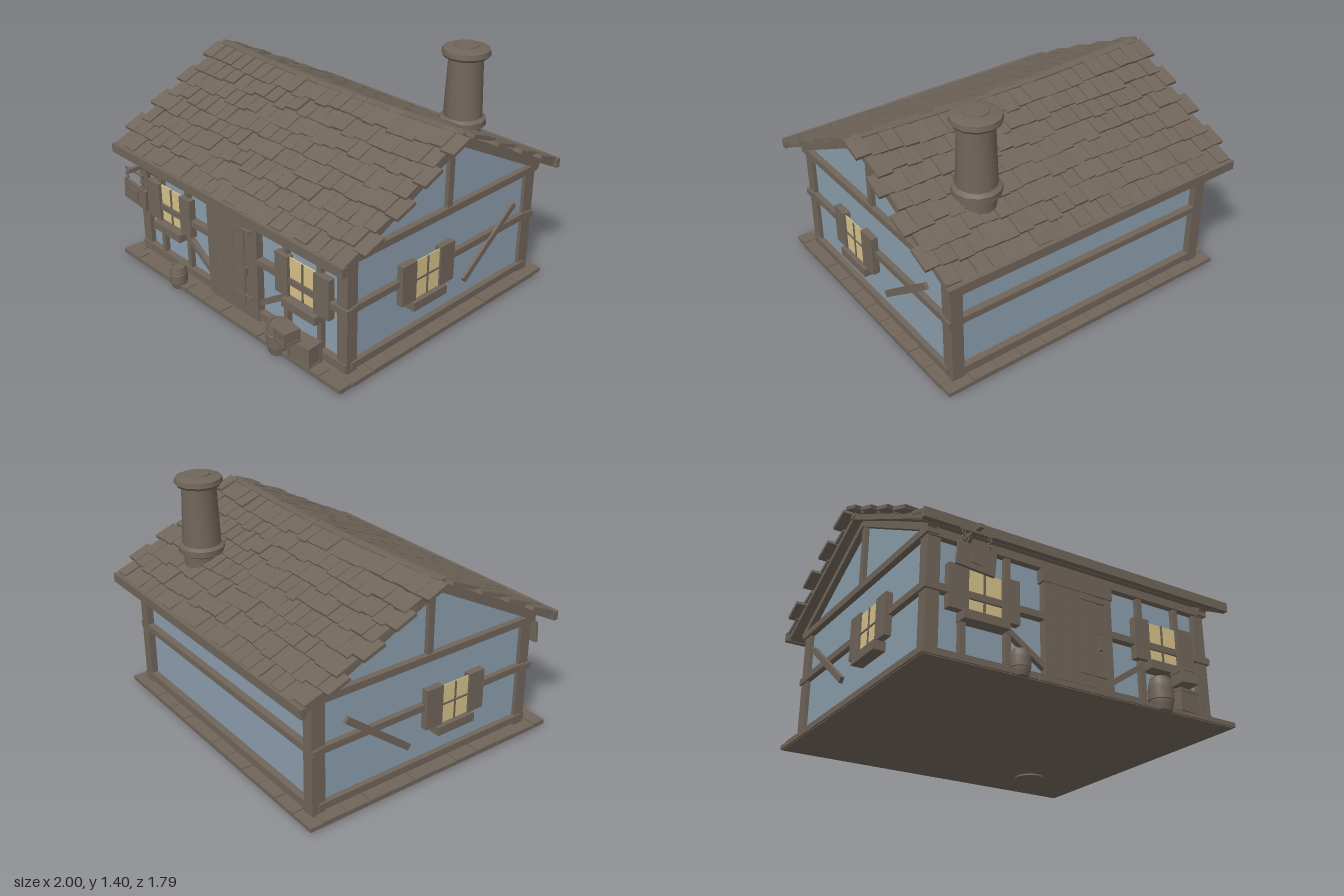
import * as THREE from 'three';
import { mergeGeometries, toCreasedNormals } from 'three/addons/utils/BufferGeometryUtils.js';

const material = (name, color) => {
  const m = new THREE.MeshStandardMaterial({ color });
  m.name = name;
  return m;
};

export function createModel() {
  const wood = material('weathered wood', 0x70655a);
  const plaster = material('blue plaster', 0x8b9eac);
  const glow = material('window glow', 0xd6c189);
  const root = new THREE.Group();
  root.name = 'cottage';
  const CZ = -0.04; // ridge line

  let seed = 7;
  const rand = () => (seed = (seed * 16807) % 2147483647) / 2147483647;
  const jitter = (a) => (rand() - 0.5) * 2 * a;

  const add = (name, geo, mat = wood, parent = root) => {
    const m = new THREE.Mesh(geo, mat);
    m.name = name;
    parent.add(m);
    return m;
  };
  // box given by its extents
  const box = (name, x0, x1, y0, y1, z0, z1, mat = wood, parent = root) => {
    const m = add(name, new THREE.BoxGeometry(Math.abs(x1 - x0), y1 - y0, Math.abs(z1 - z0)), mat, parent);
    m.position.set((x0 + x1) / 2, (y0 + y1) / 2, (z0 + z1) / 2);
    return m;
  };
  // square timber between two points
  const beam = (name, a, b, w, d) => {
    const p = new THREE.Vector3(...a), q = new THREE.Vector3(...b);
    const m = add(name, new THREE.BoxGeometry(w, d, p.distanceTo(q)));
    m.position.copy(p).add(q).multiplyScalar(0.5);
    m.lookAt(q);
    return m;
  };
  const lathe = (name, pts, sides, x, z) => {
    const geo = new THREE.LatheGeometry(pts.map((p) => new THREE.Vector2(...p)), sides);
    const m = add(name, toCreasedNormals(geo, 0.6));
    m.position.set(x, 0, z);
    return m;
  };

  // foundation with a rim of planks
  box('foundation', -0.93, 0.93, 0.01, 0.032, -0.835, 0.8);
  for (let i = 0; i < 12; i++) {
    const x = -0.94 + i * 0.1567;
    for (const z of [-0.84, 0.73]) box('rimPlank', x, x + 0.152, 0.014, 0.04 + jitter(0.003), z, z + 0.08);
  }
  for (let i = 0; i < 10; i++) {
    const z = -0.76 + i * 0.149;
    for (const s of [-1, 1]) box('rimPlank', s * 0.86, s * 0.94, 0.014, 0.04 + jitter(0.003), z, z + 0.144);
  }

  // walls with gables
  const outline = new THREE.Shape([[-0.67, 0.03], [0.74, 0.03], [0.74, 0.72], [0.035, 1.075], [-0.67, 0.72]]
    .map((p) => new THREE.Vector2(...p)));
  const walls = add('walls', new THREE.ExtrudeGeometry(outline, { depth: 1.7, bevelEnabled: false }), plaster);
  walls.rotation.y = Math.PI / 2;
  walls.position.x = -0.85;

  // long-side timbers, front and back
  for (const [name, z0, z1] of [['front', 0.64, 0.71], ['back', -0.78, -0.71]]) {
    box(name + 'SillBeam', -0.87, 0.87, 0.05, 0.097, z0, z1);
    box(name + 'MidRail', -0.885, 0.885, 0.39, 0.427, z0, z1 + (z1 > 0 ? 0.005 : 0));
    box(name + 'TopPlate', -0.87, 0.87, 0.675, 0.72, z0, z1);
  }

  // gable-side timbers and window
  for (const s of [-1, 1]) {
    for (const [z0, z1] of [[0.63, 0.7], [-0.78, -0.7]]) box('cornerPost', s * 0.8, s * 0.872, 0.035, 0.7, z0, z1);
    box('sideSillBeam', s * 0.83, s * 0.882, 0.062, 0.102, -0.745, 0.67);
    box('sideMidRail', s * 0.83, s * 0.882, 0.395, 0.433, -0.745, 0.67);
    box('sideTopPlate', s * 0.82, s * 0.885, 0.68, 0.72, -0.785, 0.72);
    box('gablePost', s * 0.83, s * 0.875, 0.72, 1.1, CZ - 0.02, CZ + 0.02);
    for (const d of [-1, 1]) {
      beam('gableRafter', [s * 0.86, 1.1, CZ], [s * 0.86, 0.705, CZ + d * 0.76], 0.05, 0.04);
      beam('bargeBoard', [s * 0.925, 1.12, CZ], [s * 0.925, 0.715, CZ + d * 0.82], 0.03, 0.03);
    }
    beam('sidePlank', [s * 0.885, 0.22, -0.175], [s * 0.885, 0.54, -0.585], 0.02, 0.036);
    box('sidePane', s * 0.885, s * 0.89, 0.285, 0.51, 0.04, 0.23, glow);
    box('sideMullion', s * 0.885, s * 0.895, 0.285, 0.51, 0.131, 0.141);
    box('sideGlazingBar', s * 0.885, s * 0.895, 0.393, 0.403, 0.04, 0.23);
    box('sideShutter', s * 0.86, s * 0.9, 0.285, 0.52, 0.228, 0.335);
    box('sideShutter', s * 0.86, s * 0.9, 0.285, 0.52, -0.068, 0.044);
    box('sideWindowSill', s * 0.85, s * 0.918, 0.232, 0.283, 0.003, 0.26);

    // front timbers and window
    for (const x of [0.418, 0.67]) box('frontStud', s * (x - 0.016), s * (x + 0.016), 0.05, 0.69, 0.65, 0.7);
    beam('frontBrace', [s * 0.43, 0.295, 0.685], [s * 0.2, 0.14, 0.685], 0.032, 0.03);
    box('frontPane', s * 0.455, s * 0.655, 0.32, 0.545, 0.695, 0.703, glow);
    box('frontMullion', s * 0.551, s * 0.561, 0.32, 0.545, 0.69, 0.71);
    box('frontShutter', s * 0.362, s * 0.458, 0.315, 0.55, 0.68, 0.722);
    box('frontShutter', s * 0.652, s * 0.762, 0.315, 0.55, 0.68, 0.722);
    box('frontWindowSill', s * 0.437, s * 0.69, 0.265, 0.312, 0.66, 0.75);
    box('doorPost', s * 0.168, s * 0.21, 0.035, 0.66, 0.65, 0.715);
  }

  // door
  box('doorLintel', -0.222, 0.215, 0.6, 0.68, 0.65, 0.722);
  for (let i = 0; i < 3; i++) box('doorPlank', -0.17 + i * 0.092, -0.08 + i * 0.092, 0.09, 0.6, 0.66, 0.717);
  box('doorPlank', 0.108, 0.17, 0.09, 0.6, 0.66, 0.712);
  box('doorStep', -0.17, 0.17, 0.03, 0.1, 0.66, 0.714);
  for (const y of [0.15, 0.56]) box('doorHinge', 0.0, 0.165, y, y + 0.016, 0.7, 0.723);
  box('doorHandle', 0.12, 0.134, 0.295, 0.345, 0.7, 0.735);

  // roof: each slope drops from the ridge, which sags in the middle
  const roofY = (x, d) => 1.115 - 0.49 * d + 0.033 * x * x * (1 - d / 0.86);
  for (const turn of [0, Math.PI]) {
    const slope = new THREE.Group();
    slope.name = turn ? 'backSlope' : 'frontSlope';
    slope.position.z = CZ;
    slope.rotation.y = turn;
    root.add(slope);

    const deck = new THREE.BoxGeometry(1.87, 0.02, 0.82, 12, 1, 1);
    const p = deck.attributes.position;
    for (let i = 0; i < p.count; i++) {
      const d = p.getZ(i) + 0.41;
      p.setXYZ(i, p.getX(i), p.getY(i) + roofY(p.getX(i), d) - 0.012, d);
    }
    deck.computeVertexNormals();
    add('roofDeck', toCreasedNormals(deck, 0.5), wood, slope);

    // overlapping courses of shingles
    const tiles = [];
    for (let row = 0; row < 8; row++) {
      const half = row % 2 ? 0.95 : 0.998, count = row % 2 ? 21 : 22, pitch = (2 * half) / count;
      for (let i = 0; i < count; i++) {
        const x = -half + (i + 0.5) * pitch;
        const d = 0.075 + row * 0.1 + jitter(0.012);
        const g = new THREE.BoxGeometry(pitch * (0.95 + jitter(0.04)), 0.02, 0.135);
        g.rotateY(jitter(0.03));
        g.rotateZ(jitter(0.04));
        g.rotateX(0.37 + jitter(0.025));
        g.translate(x, roofY(x, d) + 0.022 + jitter(0.004), d);
        tiles.push(g);
      }
    }
    add('shingles', mergeGeometries(tiles), wood, slope);
    box('eaveBoard', -0.955, 0.955, 0.69, 0.743, 0.825, 0.858, wood, slope);
  }

  // sagging ridge beam
  const ridge = new THREE.BoxGeometry(1.89, 0.05, 0.056, 14, 1, 1);
  const rp = ridge.attributes.position;
  for (let i = 0; i < rp.count; i++) rp.setY(i, rp.getY(i) + 1.11 + 0.03 * rp.getX(i) ** 2);
  ridge.computeVertexNormals();
  add('ridgeBeam', toCreasedNormals(ridge, 0.5)).position.z = CZ;

  // chimney
  lathe('chimney', [[0, 0], [0.09, 0], [0.105, 0.9], [0.105, 0.925], [0.132, 0.94], [0.132, 0.975], [0.11, 0.99],
    [0.097, 1.335], [0.125, 1.335], [0.136, 1.35], [0.132, 1.378], [0.1, 1.39], [0.068, 1.392], [0.066, 1.4], [0, 1.4]],
  12, 0.533, -0.53);

  // barrels
  const barrel = (x, z, r, y0, h) => {
    const pts = [[0, 0], [0.78, 0], [0.86, 0.14], [0.94, 0.24], [0.94, 0.3], [1, 0.32], [1, 0.68], [0.94, 0.7],
      [0.94, 0.76], [0.86, 0.86], [0.78, 1], [0.66, 1], [0.64, 0.95], [0, 0.95]];
    lathe('barrel', pts.map(([a, b]) => [a * r, y0 + b * h]), 14, x, z);
  };
  barrel(-0.41, 0.79, 0.052, 0.012, 0.133);
  barrel(0.452, 0.785, 0.067, 0.012, 0.18);

  // crates with raised rims
  const crate = (x, y, z, w, h, d, turn) => {
    const g = new THREE.Group();
    g.name = 'crate';
    g.position.set(x, y, z);
    g.rotation.y = turn;
    root.add(g);
    box('crateBody', -w / 2 + 0.005, w / 2 - 0.005, 0.003, h - 0.003, -d / 2 + 0.005, d / 2 - 0.005, wood, g);
    for (const y0 of [0, h - 0.016]) box('crateBand', -w / 2, w / 2, y0, y0 + 0.016, -d / 2, d / 2, wood, g);
    for (const sx of [-1, 1]) for (const sz of [-1, 1]) {
      box('crateCorner', sx * (w / 2 - 0.014), sx * w / 2, 0, h, sz * (d / 2 - 0.014), sz * d / 2, wood, g);
    }
  };
  crate(0.63, 0.035, 0.765, 0.155, 0.125, 0.1, 0.08);
  crate(0.575, 0.162, 0.835, 0.1, 0.08, 0.1, -0.12);

  // hanging sign on a bracket
  box('signArm', -0.7, -0.675, 0.672, 0.695, 0.69, 0.893);
  beam('signBrace', [-0.687, 0.58, 0.7], [-0.687, 0.68, 0.8], 0.018, 0.016);
  box('signCrossbar', -0.775, -0.6, 0.66, 0.672, 0.845, 0.855);
  for (const x of [-0.76, -0.615]) {
    for (let i = 0; i < 5; i++) {
      const link = add('chainLink', new THREE.TorusGeometry(0.01, 0.003, 5, 8));
      link.position.set(x, 0.65 - i * 0.016, 0.85);
      link.rotation.y = i % 2 ? Math.PI / 2 : 0;
    }
  }
  const sign = new THREE.Group();
  sign.name = 'sign';
  sign.position.set(-0.69, 0.525, 0.848);
  sign.rotation.z = -0.09;
  root.add(sign);
  box('signBoard', -0.105, 0.105, -0.062, 0.062, -0.008, 0.008, wood, sign);
  box('signPanel', -0.032, 0.032, -0.032, 0.032, 0.005, 0.014, wood, sign);
  return root;
}
